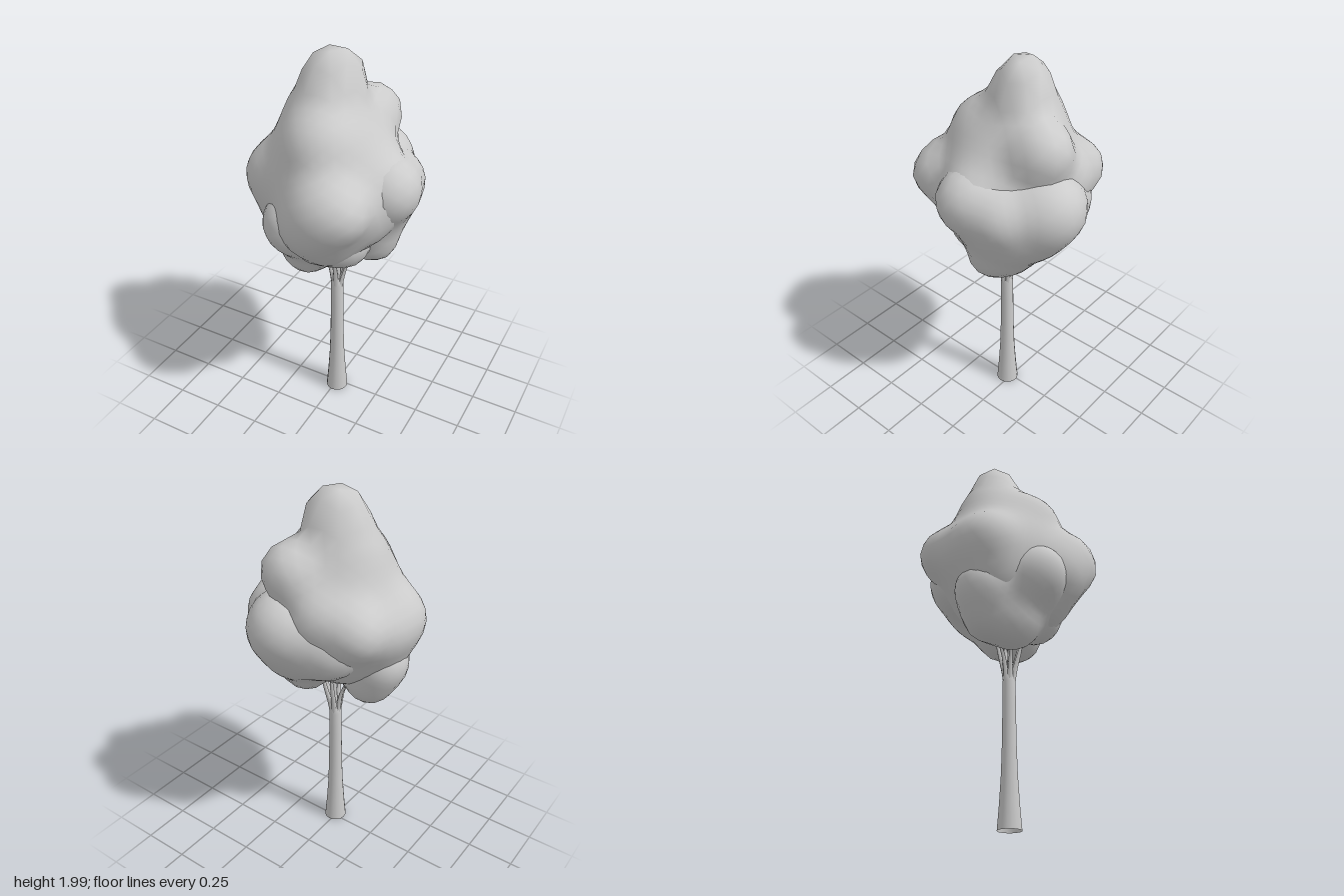
import * as THREE from 'three';
import { mergeVertices } from 'three/addons/utils/BufferGeometryUtils.js';

const material = new THREE.MeshStandardMaterial({ color: 0xcccccc, roughness: 0.9, side: THREE.DoubleSide });

// Smoothly blended distance to a set of spheres [x, y, z, radius]
function blendedDistance(p, blobs, k = 0.035) {
  let sum = 0;
  for (const [x, y, z, r] of blobs) sum += Math.exp(-(Math.hypot(p.x - x, p.y - y, p.z - z) - r) / k);
  return -k * Math.log(sum);
}

// Leaf clump: an icosphere shrunk from outside onto the blended spheres
function makeClump(name, centre, blobs, detail) {
  let geo = new THREE.IcosahedronGeometry(1, detail);
  geo.deleteAttribute('normal');
  geo.deleteAttribute('uv');
  geo = mergeVertices(geo, 1e-4);
  const pos = geo.attributes.position;
  const c = new THREE.Vector3(...centre), dir = new THREE.Vector3(), p = new THREE.Vector3();
  for (let i = 0; i < pos.count; i++) {
    dir.fromBufferAttribute(pos, i).normalize();
    let t = 0.9;
    for (let n = 0; n < 60 && t > 0.03; n++) {
      const d = blendedDistance(p.copy(c).addScaledVector(dir, t), blobs);
      if (d < 0.001) break;
      t -= d;
    }
    p.copy(c).addScaledVector(dir, t);
    pos.setXYZ(i, p.x, p.y, p.z);
  }
  geo.computeVertexNormals();
  const mesh = new THREE.Mesh(geo, material);
  mesh.name = name;
  return mesh;
}

// Branch: a tube whose rings shrink towards the path
function makeBranch(points, r0, r1) {
  const curve = new THREE.CatmullRomCurve3(points.map((a) => new THREE.Vector3(...a)));
  const rings = 8, sides = 7;
  const geo = new THREE.TubeGeometry(curve, rings, r0, sides);
  const pos = geo.attributes.position, v = new THREE.Vector3();
  for (let i = 0; i < pos.count; i++) {
    const t = Math.floor(i / (sides + 1)) / rings;
    const c = curve.getPointAt(t);
    v.fromBufferAttribute(pos, i).sub(c).multiplyScalar(1 + (r1 / r0 - 1) * t).add(c);
    pos.setXYZ(i, v.x, v.y, v.z);
  }
  geo.computeVertexNormals();
  const mesh = new THREE.Mesh(geo, material);
  mesh.name = 'branch';
  return mesh;
}

export function createModel() {
  const tree = new THREE.Group();
  tree.name = 'tree';

  // Trunk flaring at the foot
  const profile = [[0.06, 0], [0.05, 0.12], [0.041, 0.26], [0.036, 0.42], [0.034, 0.6], [0.033, 0.73], [0.027, 0.79], [0, 0.8]];
  const trunk = new THREE.Mesh(
    new THREE.LatheGeometry(profile.map(([r, y]) => new THREE.Vector2(r, y)), 16), material);
  trunk.name = 'trunk';
  trunk.position.set(0.01, 0, 0.02);
  tree.add(trunk);

  // Branches fanning out into the leaves
  const branches = new THREE.Group();
  branches.name = 'branches';
  const tips = [[0.1, 0.97, 0.03], [0.06, 1.0, -0.04], [-0.01, 1.0, -0.05], [-0.06, 0.92, 0.01],
    [-0.04, 0.92, 0.07], [0.03, 0.98, 0.1], [0.02, 1.02, 0.02]];
  for (const [x, y, z] of tips) {
    const dx = x - 0.01, dz = z - 0.02;
    branches.add(makeBranch([
      [0.01 + dx * 0.15, 0.7, 0.02 + dz * 0.15],
      [0.01 + dx * 0.35, 0.79, 0.02 + dz * 0.35],
      [0.01 + dx * 0.62, 0.87, 0.02 + dz * 0.62],
      [x, y, z]], 0.017, 0.007));
  }
  tree.add(branches);

  // Foliage in three overlapping clumps
  const foliage = new THREE.Group();
  foliage.name = 'foliage';
  foliage.add(
    makeClump('mainCrown', [-0.03, 1.4, 0.01], [
      // top
      [-0.065, 1.88, -0.02, 0.1], [-0.01, 1.88, -0.06, 0.1], [-0.05, 1.72, -0.03, 0.155],
      [-0.1, 1.66, -0.02, 0.14], [-0.04, 1.56, -0.01, 0.23], [0, 1.59, 0.14, 0.17], [0.07, 1.63, -0.24, 0.14],
      // core and underside
      [-0.02, 1.36, 0, 0.345], [-0.04, 1.15, 0.05, 0.19], [-0.2, 1.2, 0.08, 0.16], [0.03, 1.16, 0.17, 0.17],
      // right and back lobes
      [-0.28, 1.36, 0.09, 0.155], [-0.29, 1.35, -0.03, 0.12], [-0.26, 1.4, -0.2, 0.13], [-0.09, 1.45, -0.24, 0.13],
      // left and front lobes
      [0.27, 1.38, 0, 0.14], [0.17, 1.27, 0.08, 0.16], [0.1, 1.36, 0.29, 0.165], [0.2, 1.37, 0.32, 0.095],
      [0.02, 1.26, 0.29, 0.15]], 7),
    makeClump('backLeftClump', [0.12, 1.28, -0.12], [
      [0.28, 1.38, 0.02, 0.155], [0.26, 1.35, -0.15, 0.12], [0.08, 1.36, -0.29, 0.18],
      [0.08, 1.22, -0.23, 0.13], [0.1, 1.26, -0.07, 0.26], [0.19, 1.04, -0.04, 0.11],
      [0.1, 1.03, -0.1, 0.1], [-0.1, 1.3, -0.18, 0.19]], 6),
    makeClump('lowFrontClump', [-0.09, 1.15, 0.11], [
      [-0.1, 0.98, 0.12, 0.12], [-0.25, 1.13, 0.04, 0.14], [-0.2, 1.0, 0.03, 0.11],
      [-0.06, 1.18, 0.13, 0.2], [0.1, 1.1, 0.12, 0.14], [-0.09, 1.22, 0.26, 0.15]], 6));
  tree.add(foliage);
  return tree;
}
